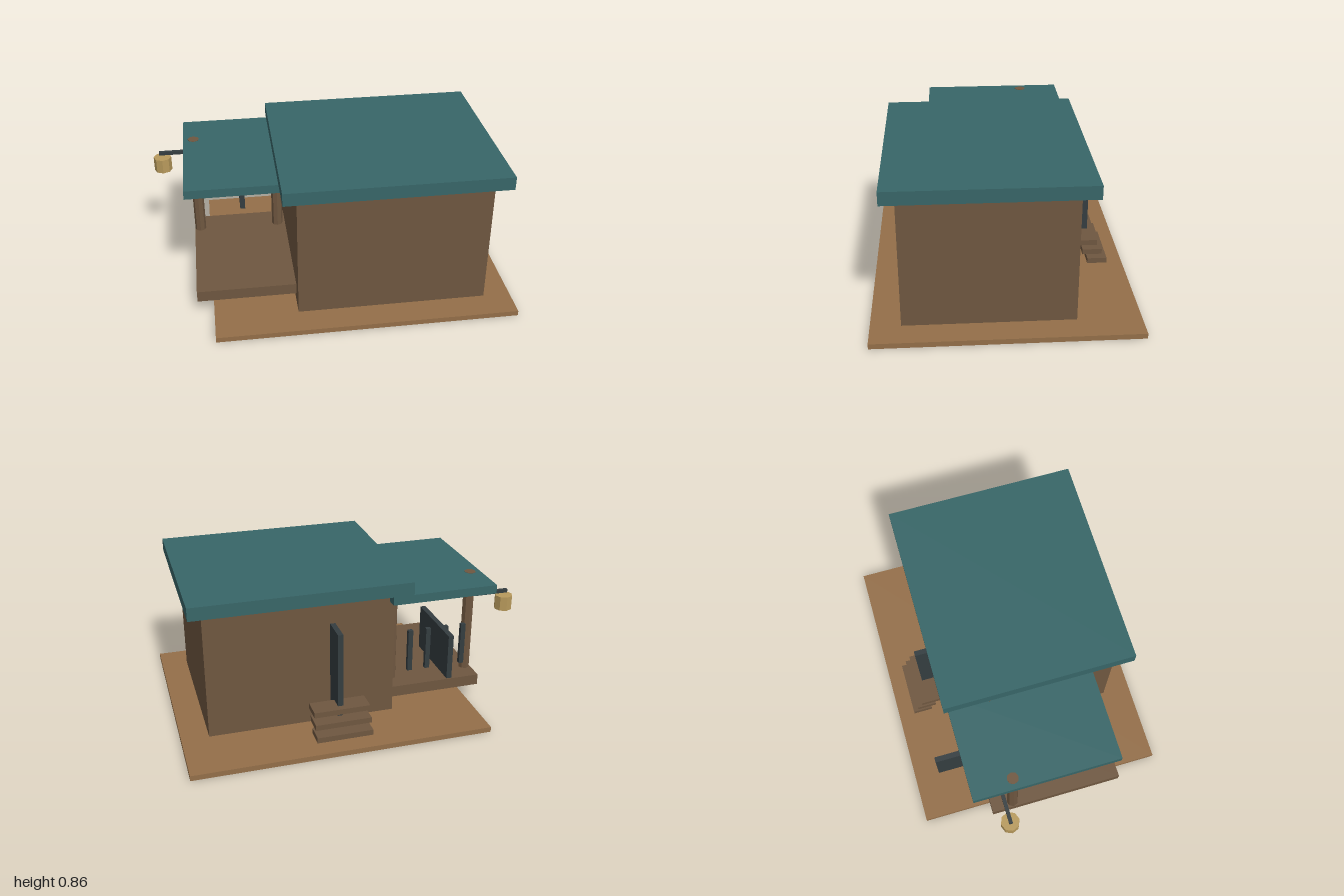
import * as THREE from 'three';

const material = (color) => new THREE.MeshStandardMaterial({ color, flatShading: true });

export function createModel() {
  const group = new THREE.Group();
  const wood = material(0x6f5740);
  const earth = material(0x946f49);
  const teal = material(0x386668);
  const iron = material(0x343d40);
  const brass = material(0xb89a5c);

  // Box given by its extents along each axis
  const box = (name, mat, [x0, x1], [y0, y1], [z0, z1]) => {
    const mesh = new THREE.Mesh(new THREE.BoxGeometry(x1 - x0, y1 - y0, z1 - z0), mat);
    mesh.position.set((x0 + x1) / 2, (y0 + y1) / 2, (z0 + z1) / 2);
    mesh.name = name;
    group.add(mesh);
  };

  // Upright eight-sided cylinder
  const column = (name, mat, r, x, [y0, y1], z) => {
    const mesh = new THREE.Mesh(new THREE.CylinderGeometry(r, r, y1 - y0, 8), mat);
    mesh.position.set(x, (y0 + y1) / 2, z);
    mesh.name = name;
    group.add(mesh);
  };

  // Plot and house
  box('ground', earth, [-0.7, 1], [0, 0.03], [-0.725, 0.725]);
  box('houseWalls', wood, [-0.23, 0.845], [0.03, 0.78], [-0.375, 0.56]);
  box('houseRoof', teal, [-0.31, 0.925], [0.78, 0.855], [-0.46, 0.635]);

  // Open door at the back
  box('door', iron, [0.115, 0.145], [0.115, 0.63], [-0.53, -0.36]);

  // Floating steps leading to the door
  for (let i = 0; i < 3; i++) {
    const y = 0.042 + i * 0.061;
    const z = -0.63 + i * 0.031;
    box('step', wood, [-0.03, 0.29], [y, y + 0.032], [z, z + 0.114]);
  }

  // Side porch: deck, roof and two posts reaching just through the roof
  box('porchDeck', wood, [-0.79, -0.23], [0.085, 0.15], [-0.33, 0.46]);
  box('porchRoof', teal, [-0.815, -0.2], [0.72, 0.77], [-0.435, 0.395]);
  for (const x of [-0.755, -0.277]) column('porchPost', wood, 0.033, x, [0.15, 0.772], -0.2);

  // Railing: crosswise panel and a row of balusters
  box('railPanel', iron, [-0.505, -0.475], [0.3, 0.56], [-0.575, -0.15]);
  for (let i = 0; i < 4; i++) {
    const x = -0.65 + i * 0.107;
    box('baluster', iron, [x - 0.014, x + 0.014], [0.275, 0.525], [-0.382, -0.358]);
  }

  // Lantern hanging from a bracket
  box('lanternBracket', iron, [-0.965, -0.755], [0.645, 0.665], [-0.28, -0.26]);
  column('lantern', brass, 0.052, -0.948, [0.545, 0.63], -0.27);

  return group;
}
